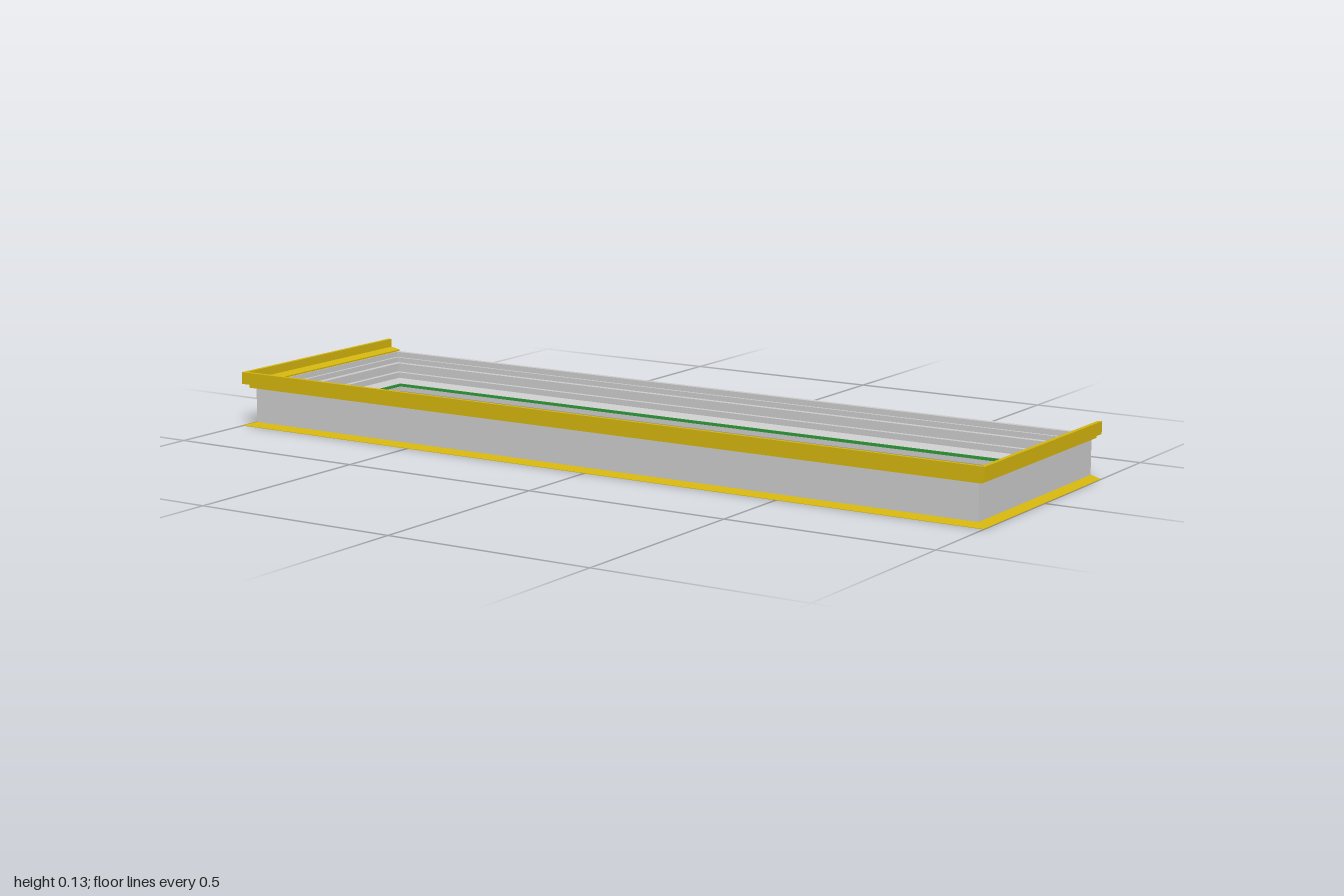
import * as THREE from 'three';

// Outer wall faces of the frame
const X = 0.975, FRONT = 0.263, BACK = -0.286;

// Sweeps a profile of [inset, height] points round the rectangle with mitred
// corners. Open sweeps cover right, front and left sides and stop at the back.
function sweep(name, color, profile, closed) {
  const path = (d) => {
    const back = closed ? BACK + d : BACK;
    return [[d - X, back], [d - X, FRONT - d], [X - d, FRONT - d], [X - d, back]];
  };
  const point = (corner, [d, y]) => {
    const [x, z] = path(d)[corner % 4];
    return [x, y, z];
  };
  const pos = [];
  const sides = closed ? 4 : 3;
  for (let i = 0; i < sides; i++) {
    profile.forEach((p, j) => {
      const q = profile[(j + 1) % profile.length];
      const a = point(i, p), b = point(i + 1, p), c = point(i + 1, q), e = point(i, q);
      pos.push(...a, ...b, ...c, ...a, ...c, ...e);
    });
  }
  if (!closed) {
    // Cut ends
    const outline = profile.map(([d, y]) => new THREE.Vector2(d, y));
    for (const tri of THREE.ShapeUtils.triangulateShape(outline, [])) {
      for (const corner of [0, 3]) tri.forEach((k) => pos.push(...point(corner, profile[k])));
    }
  }
  const geo = new THREE.BufferGeometry();
  geo.setAttribute('position', new THREE.Float32BufferAttribute(pos, 3));
  geo.computeVertexNormals();
  const mat = new THREE.MeshStandardMaterial({ color, side: THREE.DoubleSide });
  const mesh = new THREE.Mesh(geo, mat);
  mesh.name = name;
  return mesh;
}

export function createModel() {
  const group = new THREE.Group();
  group.name = 'rectangularFrame';
  const yellow = 0xd4b50e;

  // Main frame: tall outer wall, stepped inside, sloping lower lip
  group.add(sweep('frame', 0xcccccc, [
    [0, 0], [0, 0.103], [0.013, 0.103], [0.013, 0.09], [0.02, 0.09],
    [0.02, 0.078], [0.034, 0.078], [0.034, 0.066], [0.028, 0.066], [0.028, 0.056],
    [0.04, 0.056], [0.04, 0.042], [0.055, 0.03], [0.055, 0.012],
    [0.045, 0.012], [0.04, 0],
  ], true));

  // Upper trim: ledge over the wall with an upright outer leaf
  group.add(sweep('upperTrim', yellow, [
    [-0.012, 0.093], [-0.012, 0.103], [-0.024, 0.103], [-0.024, 0.132],
    [-0.014, 0.132], [-0.014, 0.112], [0.012, 0.107], [0.012, 0.1035],
    [-0.0005, 0.1035], [-0.0005, 0.093],
  ], false));

  // Lower trim: thin drip edge tapering outwards
  group.add(sweep('lowerTrim', yellow, [
    [-0.0245, 0], [-0.0245, 0.001], [-0.0005, 0.008], [-0.0005, 0],
  ], false));

  // Thin seal along the inner lip
  group.add(sweep('seal', 0x2f9a3a, [
    [0.0545, 0.024], [0.0545, 0.031], [0.057, 0.031], [0.057, 0.024],
  ].map(([d, y]) => [d, y]), true));

  return group;
}
